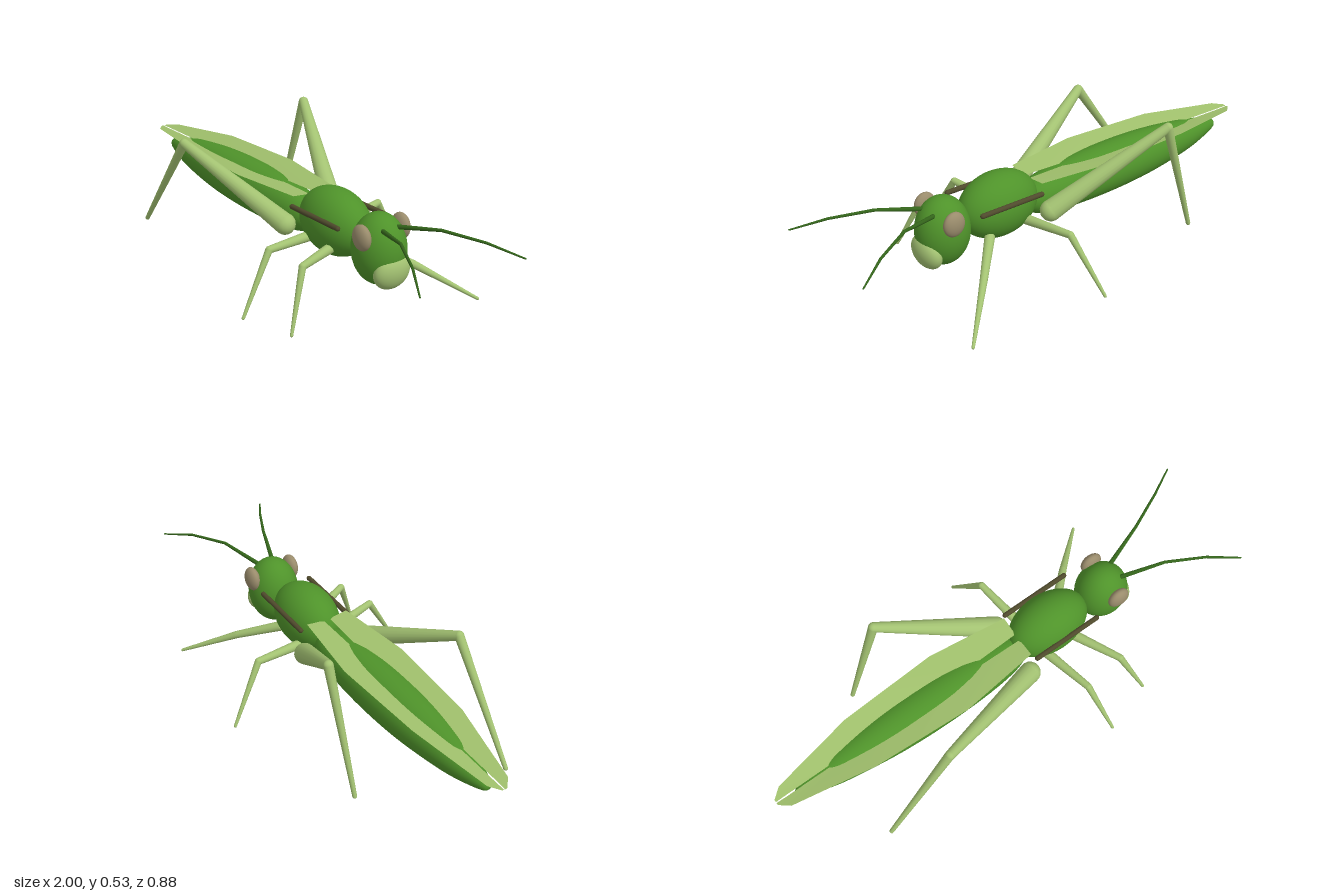
import * as THREE from 'three';

const mat = (name, color, side = THREE.FrontSide) => {
  const m = new THREE.MeshStandardMaterial({ color, side });
  m.name = name;
  return m;
};
const V = (p) => new THREE.Vector3(...p);

export function createModel() {
  const body = mat('body green', 0x4f932a);
  const limb = mat('light green', 0xa3c272);
  const wingMat = mat('wing green', 0xa0c06c, THREE.DoubleSide);
  const eyeMat = mat('eye tan', 0x9a8c6c);
  const dark = mat('antenna green', 0x33641a);
  const stripeMat = mat('stripe brown', 0x4f4a2c);

  const model = new THREE.Group();
  model.name = 'grasshopper';

  const add = (name, geo, material, parent = model) => {
    const mesh = new THREE.Mesh(geo, material);
    mesh.name = name;
    parent.add(mesh);
    return mesh;
  };
  const ellipsoid = (name, material, pos, radii) => {
    const mesh = add(name, new THREE.SphereGeometry(1, 40, 28), material);
    mesh.position.set(...pos);
    mesh.scale.set(...radii);
    return mesh;
  };
  // tapered rod between two points
  const rod = (name, material, a, b, ra, rb, parent) => {
    const from = V(a), dir = V(b).sub(from);
    const mesh = add(name, new THREE.CylinderGeometry(rb, ra, dir.length(), 16), material, parent);
    mesh.position.copy(from).addScaledVector(dir, 0.5);
    mesh.quaternion.setFromUnitVectors(new THREE.Vector3(0, 1, 0), dir.normalize());
    return mesh;
  };
  const joint = (name, material, p, r, parent) =>
    add(name, new THREE.SphereGeometry(r, 16, 12), material, parent).position.set(...p);

  // abdomen: turned profile laid along x, rising gently towards the thorax
  const profile = new THREE.SplineCurve([
    [0, -0.92], [0.022, -0.905], [0.05, -0.81], [0.071, -0.7], [0.093, -0.5],
    [0.1, -0.3], [0.094, -0.1], [0.075, 0.05], [0.04, 0.12], [0, 0.14],
  ].map(([r, x]) => new THREE.Vector2(r, x))).getPoints(40);
  profile.forEach((p) => { p.x = Math.max(p.x, 0); });
  const abdomen = new THREE.LatheGeometry(profile, 40).rotateZ(-Math.PI / 2);
  const ap = abdomen.attributes.position;
  for (let i = 0; i < ap.count; i++) {
    ap.setY(i, ap.getY(i) + 0.213 + 0.022 * (ap.getX(i) + 0.92));
  }
  add('abdomen', abdomen, body);

  // thorax and head
  ellipsoid('thorax', body, [0.245, 0.275, 0], [0.172, 0.13, 0.112]);
  ellipsoid('head', body, [0.503, 0.265, 0], [0.107, 0.139, 0.1]);
  ellipsoid('muzzle', limb, [0.577, 0.2, 0], [0.044, 0.069, 0.077]).rotation.z = -0.15;

  // wings: [x, inner z, inner y, outer z, outer y] sections, outer edge lifted
  const sections = [
    [-1, 0.002, 0.262, 0.012, 0.264],
    [-0.96, 0.003, 0.264, 0.045, 0.27],
    [-0.62, 0.004, 0.285, 0.11, 0.31],
    [-0.22, 0.006, 0.312, 0.13, 0.332],
    [0.1, 0.014, 0.335, 0.09, 0.345],
  ];
  for (const s of [1, -1]) {
    const side = s > 0 ? 'front' : 'back';
    const pos = [], idx = [];
    sections.forEach(([x, zi, yi, zo, yo], i) => {
      pos.push(x, yi, s * zi, x, yo, s * zo);
      if (i === 0) return;
      const a = 2 * i - 2;
      if (s > 0) idx.push(a, a + 1, a + 2, a + 1, a + 3, a + 2);
      else idx.push(a, a + 2, a + 1, a + 1, a + 2, a + 3);
    });
    const wing = new THREE.BufferGeometry();
    wing.setAttribute('position', new THREE.Float32BufferAttribute(pos, 3));
    wing.setIndex(idx);
    wing.computeVertexNormals();
    add(side + 'Wing', wing, wingMat);

    // eye and side stripe
    ellipsoid(side + 'Eye', eyeMat, [0.515, 0.335, s * 0.09], [0.045, 0.05, 0.026]);
    const stripe = add(side + 'Stripe', new THREE.CapsuleGeometry(0.01, 0.28, 6, 12), stripeMat);
    stripe.position.set(0.258, 0.322, s * 0.108);
    stripe.rotation.z = -Math.PI / 2 + 0.06;

    // antenna in three tapering lengths
    const antenna = new THREE.Group();
    antenna.name = side + 'Antenna';
    model.add(antenna);
    const path = [[0.56, 0.362, 0.032], [0.73, 0.397, 0.092], [0.88, 0.387, 0.165], [1, 0.355, 0.235]];
    const radii = [0.009, 0.006, 0.005, 0.003];
    for (let i = 0; i < 3; i++) {
      const [a, b] = [path[i], path[i + 1]].map(([x, y, z]) => [x, y, s * z]);
      rod('antennaSegment', dark, a, b, radii[i], radii[i + 1], antenna);
      joint('antennaJoint', dark, b, radii[i + 1], antenna);
    }
  }

  // legs: hip, knee, foot, then radii at hip, knee and foot
  const legs = [
    ['frontHindLeg', [0.08, 0.23, 0.115], [-0.39, 0.44, 0.265], [-0.69, 0.008, 0.278], 0.042, 0.019, 0.009],
    ['backHindLeg', [0.08, 0.23, -0.115], [-0.355, 0.506, -0.288], [-0.51, 0.008, -0.278], 0.042, 0.019, 0.009],
    ['frontMiddleLeg', [0.185, 0.21, 0.08], [0.23, 0.232, 0.292], [0.264, 0.008, 0.432], 0.02, 0.014, 0.006],
    ['backMiddleLeg', [0.17, 0.21, -0.08], [0.135, 0.23, -0.292], [0.085, 0.008, -0.434], 0.02, 0.014, 0.006],
    ['frontForeLeg', [0.315, 0.21, 0.08], [0.403, 0.228, 0.267], [0.468, 0.008, 0.362], 0.02, 0.014, 0.006],
    ['backForeLeg', [0.34, 0.195, -0.07], [0.47, 0.127, -0.197], [0.65, 0.008, -0.362], 0.02, 0.015, 0.006],
  ];
  for (const [name, hip, knee, foot, rh, rk, rf] of legs) {
    const leg = new THREE.Group();
    leg.name = name;
    model.add(leg);
    rod('thigh', limb, hip, knee, rh, rk, leg);
    joint('hip', limb, hip, rh, leg);
    joint('knee', limb, knee, rk, leg);
    rod('shin', limb, knee, foot, rk, rf, leg);
    joint('foot', limb, foot, rf, leg);
  }
  return model;
}
